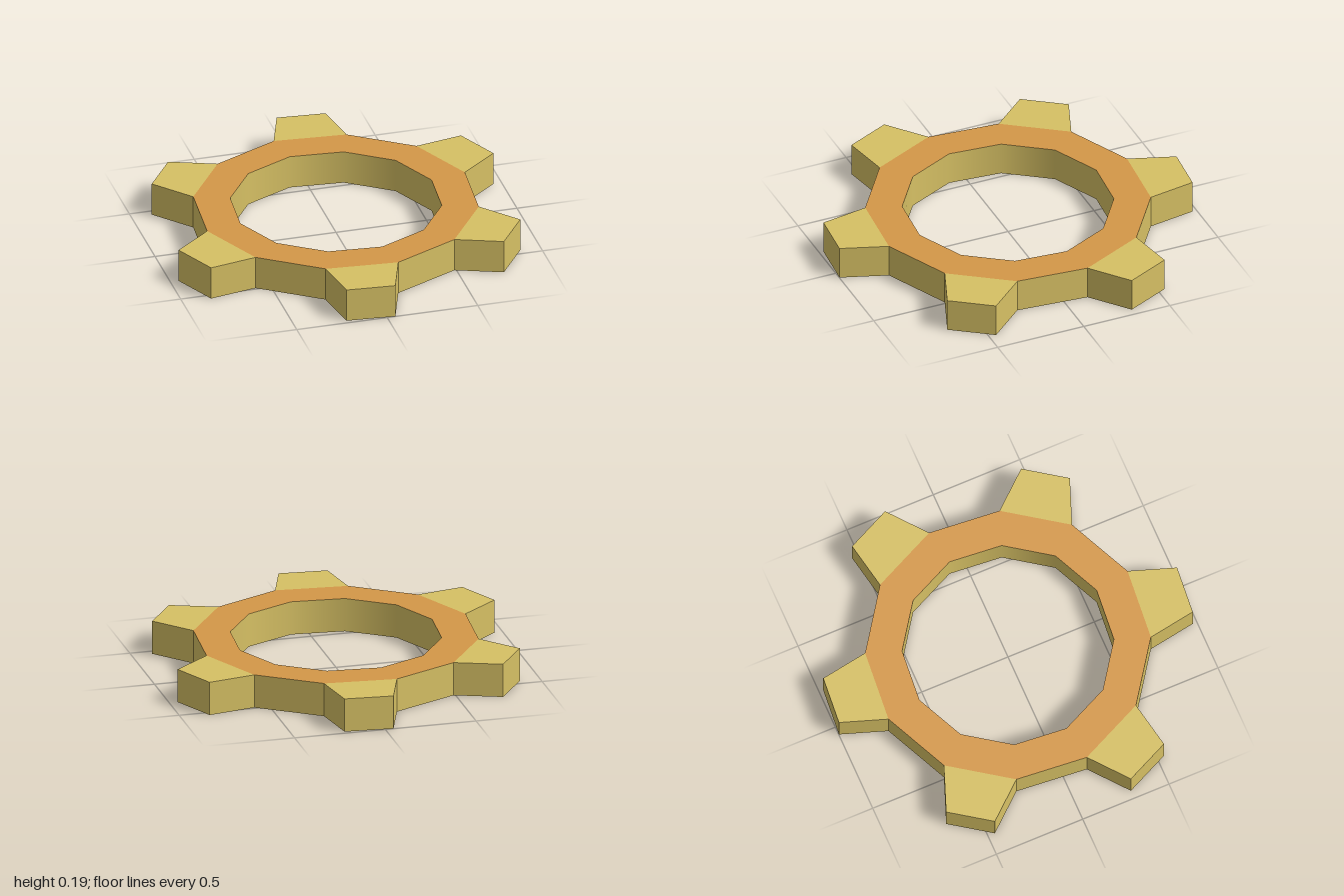
import * as THREE from 'three';

const SIDES = 12, TEETH = 6;
const INNER = 0.564, OUTER = 0.761, TIP = 1.0, HEIGHT = 0.185;
const START = 10; // angle of the first ring corner, in degrees
const rad = THREE.MathUtils.degToRad;

export function createModel() {
  const gold = new THREE.MeshStandardMaterial({ color: 0xd6c064 });
  gold.name = 'gold';
  const orange = new THREE.MeshStandardMaterial({ color: 0xd49848 });
  orange.name = 'orange';

  const gear = new THREE.Group();
  gear.name = 'gear';
  const add = (name, geometry, material) => {
    const mesh = new THREE.Mesh(geometry, material);
    mesh.name = name;
    gear.add(mesh);
  };

  // flat ring faces
  const top = new THREE.RingGeometry(INNER, OUTER, SIDES, 1, rad(START));
  add('ringTop', top.rotateX(-Math.PI / 2).translate(0, HEIGHT, 0), orange);
  const bottom = new THREE.RingGeometry(INNER, OUTER, SIDES, 1, rad(-START));
  add('ringBottom', bottom.rotateX(Math.PI / 2), orange);

  // smooth bore wall, facing inward
  const bore = [new THREE.Vector2(INNER, HEIGHT), new THREE.Vector2(INNER, 0)];
  add('boreWall', new THREE.LatheGeometry(bore, SIDES, rad(START)), gold);

  // tapered teeth, with a flat wall in the gap after each one
  const polar = (r, deg) => new THREE.Vector2(r * Math.cos(rad(deg)), r * Math.sin(rad(deg)));
  for (let i = 0; i < TEETH; i++) {
    const mid = START + 15 + i * 60;
    const shape = new THREE.Shape([
      polar(OUTER, mid - 15), polar(TIP, mid - 7.6),
      polar(TIP, mid + 7.6), polar(OUTER, mid + 15),
    ]);
    const tooth = new THREE.ExtrudeGeometry(shape, { depth: HEIGHT, bevelEnabled: false });
    add('tooth', tooth.rotateX(-Math.PI / 2), gold);

    const wall = new THREE.CylinderGeometry(
      OUTER, OUTER, HEIGHT, 1, 1, true, rad(mid + 15 + 90), rad(30)).toNonIndexed();
    wall.computeVertexNormals();
    add('gapWall', wall.translate(0, HEIGHT / 2, 0), gold);
  }
  return gear;
}
